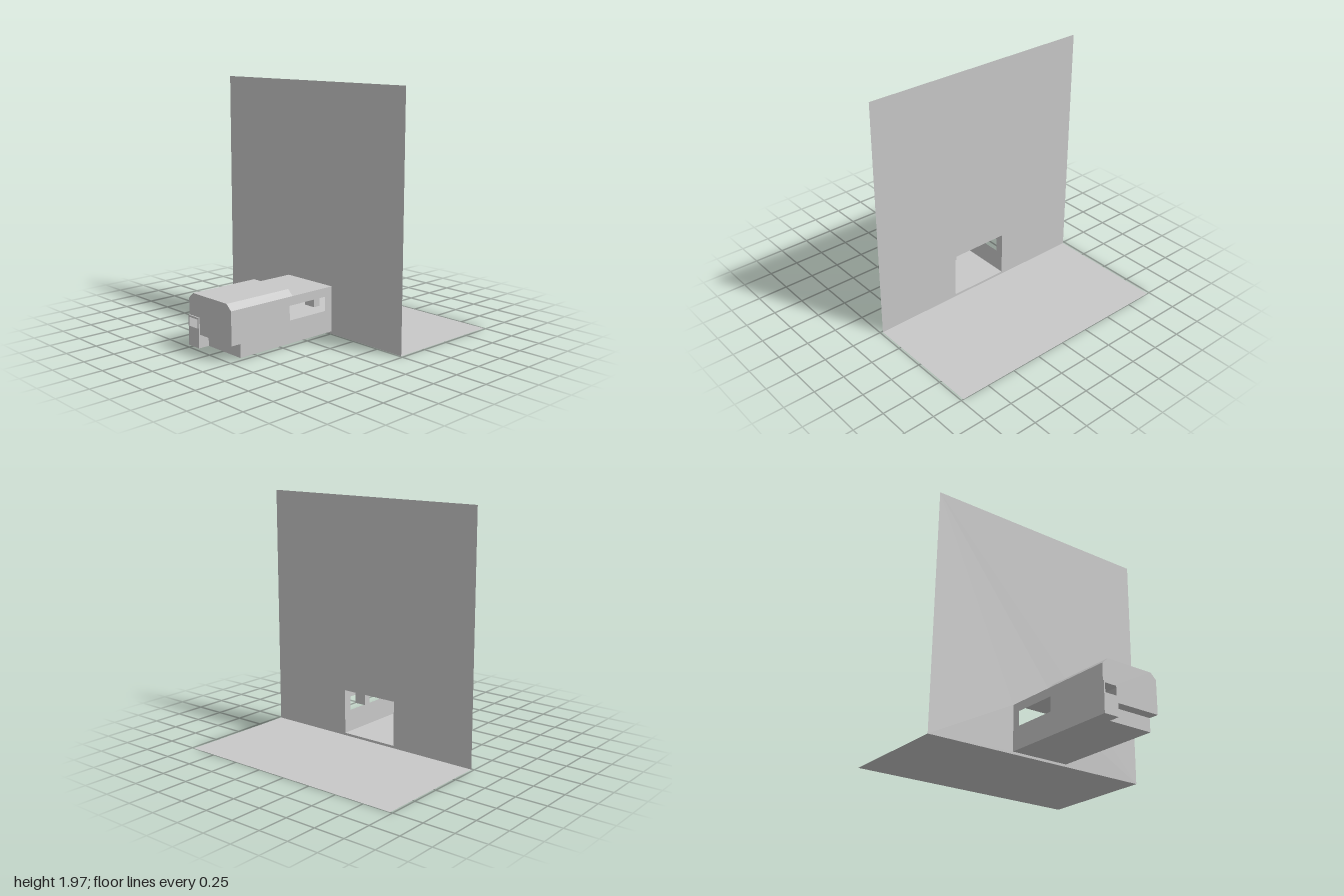
import * as THREE from 'three';

export function createModel() {
  const model = new THREE.Group();
  const grey = new THREE.MeshStandardMaterial({ color: 0xc8c8c8, side: THREE.DoubleSide });
  grey.name = 'plain grey';

  const add = (name, geo) => {
    const mesh = new THREE.Mesh(geo, grey);
    mesh.name = name;
    model.add(mesh);
    return mesh;
  };
  const rect = (a, b, c, d) => [[a, b], [c, b], [c, d], [a, d]];
  const points = (list) => list.map(([u, v]) => new THREE.Vector2(u, v));

  // Flat sheet with optional holes; the axis is the direction it faces
  function sheet(name, axis, at, outline, holes = []) {
    const shape = new THREE.Shape(points(outline));
    for (const h of holes) shape.holes.push(new THREE.Path(points(h)));
    const geo = new THREE.ShapeGeometry(shape);
    if (axis === 'x') geo.rotateY(-Math.PI / 2).translate(at, 0, 0); // u = z, v = y
    if (axis === 'y') geo.rotateX(Math.PI / 2).translate(0, at, 0); // u = x, v = z
    if (axis === 'z') geo.translate(0, 0, at); // u = x, v = y
    return add(name, geo);
  }

  const FRONT = 0.01, STEP = -0.4, LEDGE = -0.91, END = -0.99, TAIL = -1;
  const W = 0.25, FLOOR = 0.02, SEAT = 0.125, ROOF = 0.385, TOP = 0.43, NOOK = -0.125;

  // Tall screen wall with the room opening, and the ground in front of it
  sheet('screenWall', 'x', FRONT, rect(-0.98, 0, 0.98, 1.97), [rect(-W, FLOOR, W, ROOF)]);
  sheet('ground', 'y', 0, rect(FRONT, -0.98, 1, 0.98));

  // Side walls with long windows
  const sideWindow = rect(-0.43, 0.2, -0.06, 0.315);
  sheet('frontSideWall', 'z', W,
    [[LEDGE, FLOOR], [FRONT, FLOOR], [FRONT, ROOF], [END, ROOF], [END, SEAT], [LEDGE, SEAT]], [sideWindow]);
  sheet('backSideWall', 'z', -W,
    [[TAIL, FLOOR], [FRONT, FLOOR], [FRONT, ROOF], [END, ROOF], [END, 0.255], [TAIL, 0.255]], [sideWindow]);

  // Floor, raised ledge and corner nook
  sheet('floor', 'y', FLOOR,
    [[TAIL, -W], [FRONT, -W], [FRONT, W], [LEDGE, W], [LEDGE, NOOK], [TAIL, NOOK]]);
  sheet('ledge', 'y', SEAT, rect(END, NOOK, LEDGE, W));
  sheet('ledgeRiser', 'x', LEDGE, rect(NOOK, FLOOR, W, SEAT));
  sheet('nookSide', 'z', NOOK, rect(TAIL, FLOOR, LEDGE, SEAT));
  sheet('nookSideStrip', 'z', NOOK, rect(TAIL, SEAT, END, 0.255));
  sheet('nookEnd', 'x', TAIL, rect(-W, FLOOR, NOOK, 0.255), [rect(-0.24, 0.17, -0.14, 0.24)]);
  sheet('nookTop', 'y', 0.255, rect(TAIL, -W, END, NOOK));

  // End wall and the riser between the two roof heights
  sheet('endWall', 'x', END,
    [[NOOK, SEAT], [W, SEAT], [W, ROOF], [0.2, TOP], [-0.2, TOP], [-W, ROOF], [-W, 0.255], [NOOK, 0.255]]);
  sheet('roofRiser', 'x', STEP, [[-W, ROOF], [W, ROOF], [0.2, TOP], [-0.2, TOP]]);

  // Low roof, raised roof and its two sloping edges
  sheet('lowRoof', 'y', ROOF, rect(STEP, -W, FRONT, W));
  sheet('raisedRoof', 'y', TOP, rect(END, -0.2, STEP, 0.2));
  for (const s of [1, -1]) {
    const slope = new THREE.PlaneGeometry(STEP - END, Math.hypot(0.05, TOP - ROOF));
    slope.rotateX(-s * Math.atan2(0.05, TOP - ROOF));
    slope.translate((STEP + END) / 2, (ROOF + TOP) / 2, s * 0.225);
    add(s > 0 ? 'frontRoofSlope' : 'backRoofSlope', slope);
  }

  // Small posts along the roof step, hanging below the ceiling
  for (const z of [-0.19, -0.11, -0.07, 0.06, 0.15, 0.19]) {
    add('stepPost', new THREE.CylinderGeometry(0.009, 0.009, 0.11, 10).translate(-0.4, 0.37, z));
  }
  // Row of short rollers and the rail holding them
  for (let i = 0; i < 5; i++) {
    add('roller', new THREE.CylinderGeometry(0.014, 0.014, 0.045, 12).translate(-0.41, 0.335, 0.04 - i * 0.04));
  }
  add('rollerRail', new THREE.BoxGeometry(0.04, 0.025, 0.26).translate(-0.41, 0.37, -0.07));

  // Fixture hanging from the ceiling by the front window
  add('hangingFixture', new THREE.BoxGeometry(0.06, 0.09, 0.1).translate(-0.14, 0.295, 0.19));
  add('fixtureRod', new THREE.CylinderGeometry(0.008, 0.008, 0.05, 10).translate(-0.14, 0.36, 0.19));

  return model;
}
